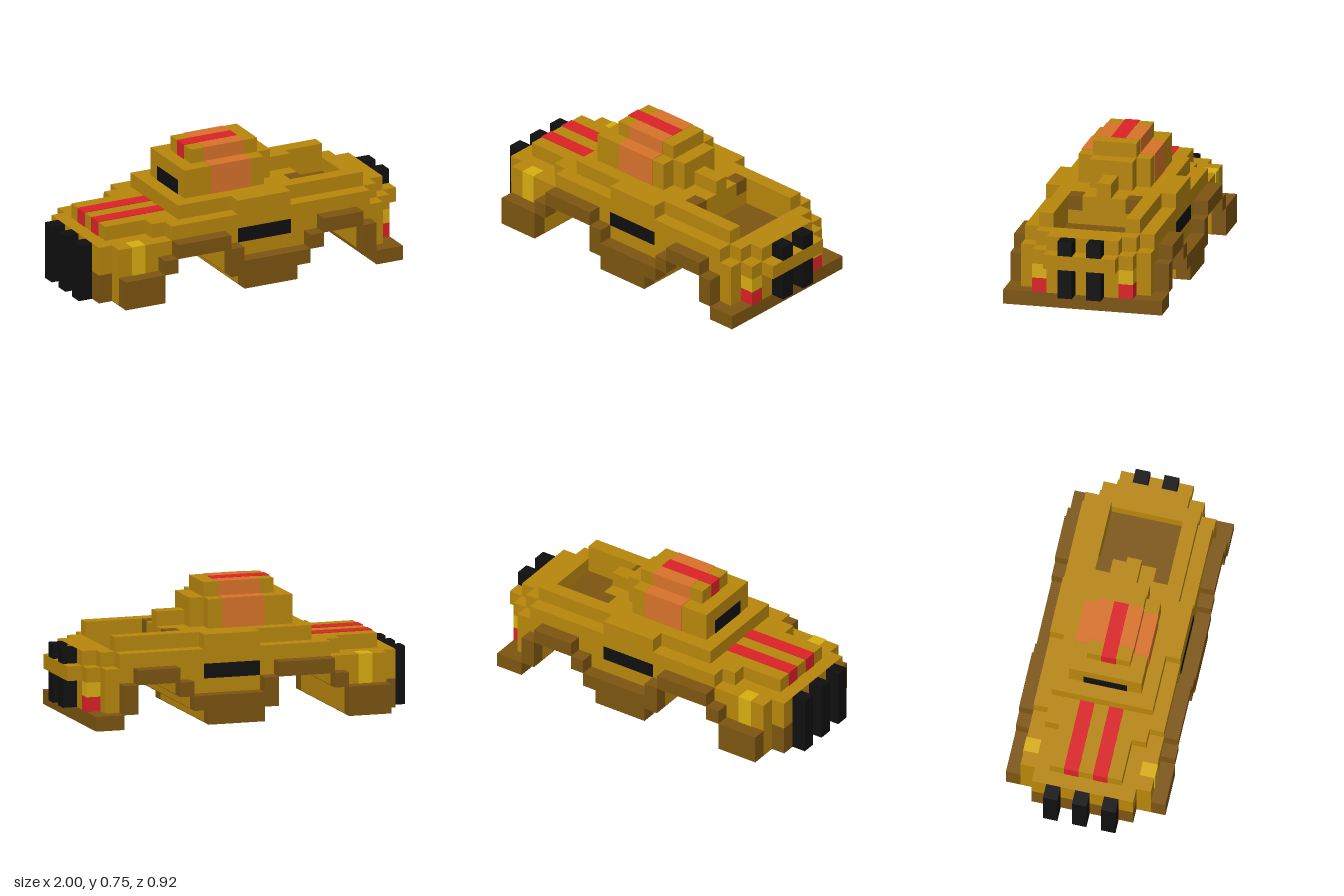
import * as THREE from 'three';

const U = 1 / 12; // one block
const E = 0.04;   // plate thickness, in blocks

export function createModel() {
  const car = new THREE.Group();
  car.name = 'blockCar';
  const mat = (name, color) => {
    const m = new THREE.MeshStandardMaterial({ color });
    m.name = name;
    return m;
  };
  const gold = mat('gold', 0xb8860b), brown = mat('brown', 0x7d5510);
  const red = mat('red', 0xdb2226), orange = mat('orange', 0xd8722a);
  const yellow = mat('yellow', 0xd8ae10), black = mat('black', 0x0f0f0f);

  // Box given by block ranges: x 0..24, y 0..9, z 0..11
  const box = (name, m, x0, x1, y0, y1, z0, z1) => {
    const mesh = new THREE.Mesh(
      new THREE.BoxGeometry((x1 - x0) * U, (y1 - y0) * U, (z1 - z0) * U), m);
    mesh.position.set(((x0 + x1) / 2 - 12) * U, (y0 + y1) / 2 * U, ((z0 + z1) / 2 - 5.5) * U);
    mesh.name = name;
    car.add(mesh);
  };
  // The same box on both sides of the car
  const pair = (name, m, x0, x1, y0, y1, z0, z1) => {
    box(name, m, x0, x1, y0, y1, z0, z1);
    box(name, m, x0, x1, y0, y1, 11 - z1, 11 - z0);
  };

  // Lower body: stepped arches, [x0, x1, bottom, top of the brown skirt]
  const arches = [
    [2, 5, 0, 2], [5, 6, 2, 3], [6, 10, 3, 4], [10, 11, 1, 3], [11, 15, 0, 2],
    [15, 16, 1, 2], [16, 17, 2, 3], [17, 20, 3, 4], [20, 21, 1, 3],
  ];
  for (const [x0, x1, y0, y1] of arches) {
    box('lowerBody', gold, x0, x1, y0 + E, 4, 1, 10);
    box('underside', brown, x0, x1, y0, y0 + E, 1, 10);
    pair('skirt', brown, x0, x1, y0, y1, 10, 11);
  }
  box('frontFoot', brown, 21, 23, 0, 1, 0, 11);
  box('frontBody', gold, 21, 22, 1, 4, 1, 10);
  box('noseBody', gold, 22, 23, 1, 4, 3, 8);
  pair('noseCorner', gold, 22, 23, 3, 4, 8, 9);
  box('frontBumper', gold, 23, 24, 3, 4, 3, 8);
  box('rearBody', gold, 1, 2, 2, 4, 2, 9);
  box('rearFoot', brown, 1, 2, 0, 2, 2, 9);

  // Lights
  pair('upperHeadlight', yellow, 22, 23, 2, 3, 8, 9);
  pair('lowerHeadlight', red, 22, 23, 1, 2, 8, 9);
  pair('rearSideLight', yellow, 3, 4, 2, 4 + E, 9, 10 + E);

  // Black blocks on the nose and pipes at the tail
  pair('noseGuard', black, 23, 24, 4, 5, 6, 7);
  pair('grille', black, 23, 24, 1, 3, 6, 7);
  for (const z of [3, 5, 7]) box('rearPipe', black, 0, 1, 0, 4, z, z + 1);

  // Deck with the open cockpit
  box('rearDeck', gold, 2, 5, 4, 5, 3, 8);
  box('rearDeckStep', gold, 5, 6, 4, 5, 2, 9);
  box('middleDeck', gold, 6, 17, 4, 5, 1, 10);
  pair('cockpitSide', gold, 17, 21, 4, 5, 8, 10);
  box('cockpitFloor', brown, 17, 21, 4, 4 + E, 3, 8);
  box('frontDeck', gold, 21, 22, 4, 5, 2, 9);
  box('nose', gold, 22, 23, 4, 5, 3, 8);

  // Upper deck, rails and door tops
  box('upperDeck', gold, 7, 16, 5, 6, 2, 9);
  box('seatBack', gold, 16, 17, 5, 6, 4, 7);
  pair('seatCorner', brown, 16, 17, 5, 6, 7, 8);
  pair('cockpitRail', gold, 16, 21, 5, 6, 8, 9);
  pair('doorTop', gold, 11, 15, 5, 6, 9, 10);
  box('headrest', gold, 15, 17, 6, 7, 5, 6);

  // Cabin
  box('cabin', gold, 8, 14, 6, 8, 3, 8);
  box('cabinFront', gold, 14, 15, 6, 8, 4, 7);
  box('roof', gold, 9, 14, 8, 9, 4, 7);
  box('cabinBand', orange, 10, 13, 6, 8 + E, 3 - E, 8 + E);
  box('roofBand', orange, 10, 13, 8, 9 + E / 2, 4 - E, 7 + E);

  // Painted stripes and windows
  box('roofStripe', red, 9, 13, 9, 9 + E, 5, 6);
  box('roofStripeBack', red, 9 - E, 9, 8, 9 + E, 5, 6);
  pair('rearStripe', red, 2, 7, 5, 5 + E, 6, 7);
  pair('rearStripeBack', red, 2 - E, 2, 4, 5 + E, 6, 7);
  box('rearWindow', black, 8 - E, 8, 6, 7, 4, 7);
  pair('sideVent', black, 11, 15, 3, 4, 10, 10 + E);

  return car;
}
